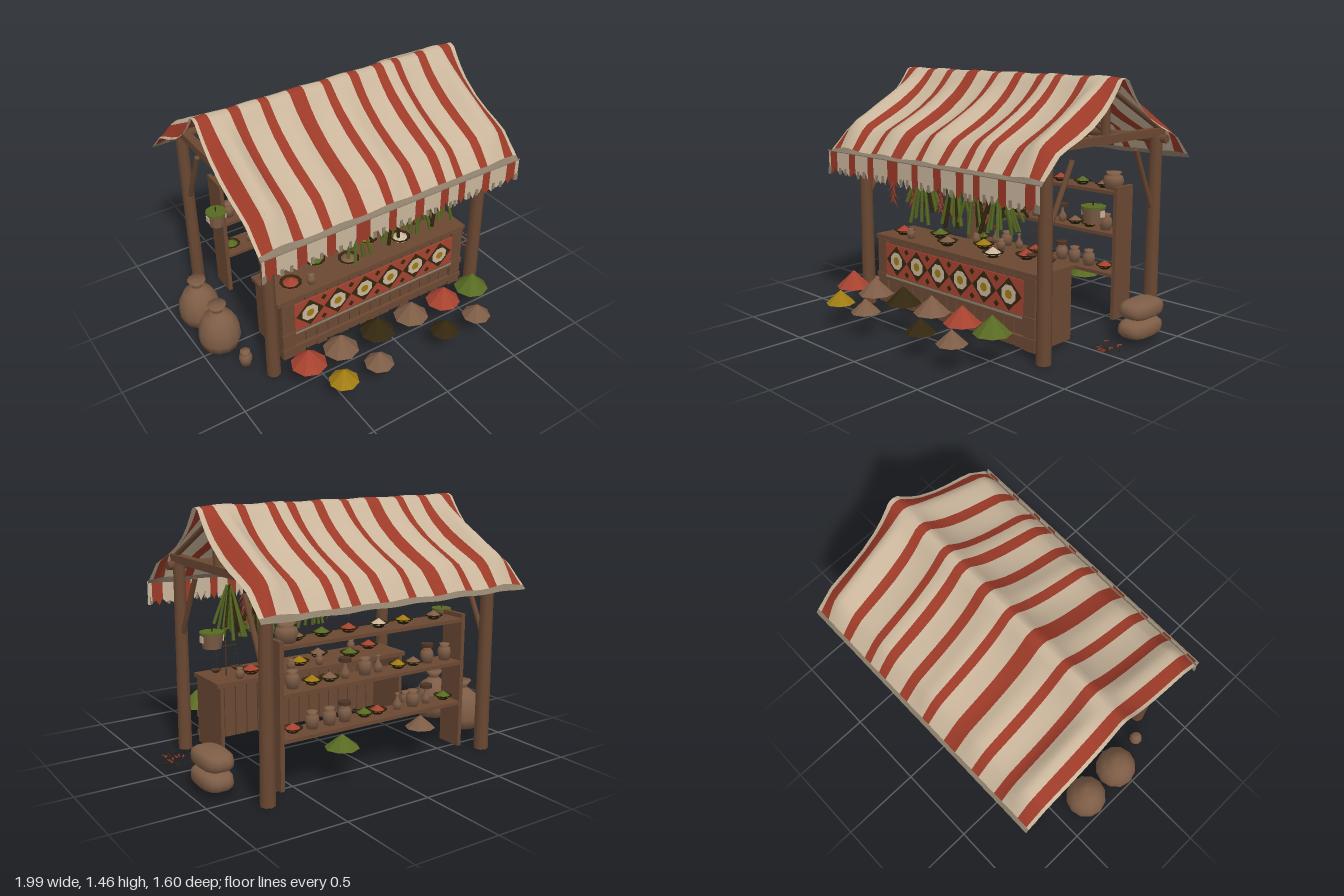
import * as THREE from 'three';

const mat = (name, color) => Object.assign(new THREE.MeshStandardMaterial({ color, side: THREE.DoubleSide }), { name });

export function createModel() {
  const root = new THREE.Group();
  root.name = 'marketStall';
  const cream = mat('canvasCream', 0xc9b59b), red = mat('canvasRed', 0x9c3a28), hem = mat('frayedHem', 0x8d7f6b);
  const wood = mat('wood', 0x6a4832), darkWood = mat('darkWood', 0x4c3324), burlap = mat('burlapAndClay', 0x7e5d46);
  const green = mat('herbGreen', 0x586a22), yellow = mat('spiceYellow', 0xa07b12), dark = mat('spiceDark', 0x33270f);
  const coral = mat('clothAndSpiceRed', 0xa6422f);

  let seed = 7;
  const rnd = (a = 0, b = 1) => { seed = (seed * 16807) % 2147483647; return a + (b - a) * seed / 2147483647; };
  const add = (name, geo, m, x = 0, y = 0, z = 0) => {
    const mesh = new THREE.Mesh(geo, m);
    mesh.name = name;
    mesh.position.set(x, y, z);
    root.add(mesh);
    return mesh;
  };
  const box = (name, m, w, h, d, x, y, z) => add(name, new THREE.BoxGeometry(w, h, d), m, x, y, z);
  const rod = (name, m, a, b, r0, r1 = r0, sides = 8) => {
    const A = new THREE.Vector3(...a), B = new THREE.Vector3(...b), dir = B.clone().sub(A);
    const mesh = add(name, new THREE.CylinderGeometry(r1, r0, dir.length(), sides), m);
    mesh.position.copy(A).add(B).multiplyScalar(0.5);
    mesh.quaternion.setFromUnitVectors(new THREE.Vector3(0, 1, 0), dir.normalize());
    return mesh;
  };
  const lathe = (pts, n = 10) => new THREE.LatheGeometry(pts.map(p => new THREE.Vector2(...p)), n);
  // Flat-shaded low-poly heap standing on y
  const heap = (m, x, y, z, r, h, name = 'spicePile') => {
    const g = new THREE.ConeGeometry(r, h, 8).toNonIndexed();
    g.computeVertexNormals();
    return add(name, g, m, x, y + h / 2, z);
  };

  // Timber frame
  const ridgeZ = -0.145;
  for (const s of [-1, 1]) {
    const x = 0.725 * s;
    rod('frontPost', wood, [x, 0, 0.335], [x, 1.1, 0.335], 0.042, 0.036);
    rod('backPost', wood, [x, 0, -0.63], [x, 1.1, -0.63], 0.042, 0.036);
    box('tieBeam', wood, 0.05, 0.045, 1.08, x, 1.123, ridgeZ);
    rod('kingPost', wood, [x, 1.12, ridgeZ], [x, 1.43, ridgeZ], 0.025);
    rod('frontBrace', wood, [x, 0.70, 0.31], [x, 1.04, 0.13], 0.015);
    rod('backBrace', wood, [x, 0.69, -0.6], [x, 1.04, -0.43], 0.015);
    for (const d of [-1, 1]) {
      rod('endRafter', wood, [x, 1.405, ridgeZ], [x, 1.135, ridgeZ + d * 0.52], 0.016);
    }
  }
  for (const x of [-0.36, 0, 0.36]) for (const d of [-1, 1])
    rod('rafter', wood, [x, 1.365, ridgeZ], [x, 1.075, ridgeZ + d * 0.52], 0.015);
  rod('ridgePole', wood, [-0.8, 1.405, ridgeZ], [0.8, 1.405, ridgeZ], 0.025);
  for (const z of [0.35, -0.64]) rod('eavePole', wood, [-0.79, 1.085, z], [0.79, 1.085, z], 0.025);

  // Canopy: sagging cloth lifted over the rafters and drooping at both open ends
  const dist = [0, 0.03, 0.06, 0.1, 0.16, 0.26, 0.36, 0.45, 0.52, 0.56, 0.6, 0.635, 0.655];
  const sag = [1.454, 1.443, 1.406, 1.36, 1.304, 1.235, 1.184, 1.145, 1.112, 1.075, 1.03, 0.99, 0.965];
  const taut = [1.457, 1.448, 1.43, 1.405, 1.372, 1.315, 1.26, 1.207, 1.17, 1.14, 1.07, 1.0, 0.965];
  const lifts = [[-0.72, 1], [-0.36, 0.4], [0, 0.4], [0.36, 0.4], [0.72, 1]];
  const stripes = [[-0.83, -0.765], [-0.647, -0.588], [-0.47, -0.417], [-0.29, -0.2], [-0.08, -0.03],
    [0.096, 0.155], [0.27, 0.326], [0.396, 0.444], [0.572, 0.626], [0.752, 0.818]];
  const isRed = x => stripes.some(([a, b]) => x > a && x < b);
  const edges = [-0.848, ...stripes.flat(), 0.845], cols = [];
  edges.forEach((e, i) => {
    if (!i) return cols.push(e);
    const p = edges[i - 1], n = Math.ceil((e - p) / 0.025);
    for (let k = 1; k <= n; k++) cols.push(p + (e - p) * k / n);
  });
  const rows = [...dist.slice(1).map((d, i) => [-d, i + 1]).reverse(), ...dist.map((d, i) => [d, i])];
  const pos = [], idx = [], canopyGeo = new THREE.BufferGeometry();
  for (const x of cols) {
    const w = Math.max(...lifts.map(([r, k]) => k * Math.exp(-(((x - r) / 0.075) ** 2))))
      - 0.35 * Math.exp(-(((Math.abs(x) - 0.85) / 0.05) ** 2));
    for (const [d, i] of rows)
      pos.push(x, sag[i] + (taut[i] - sag[i]) * w + 0.003 * Math.sin(x * 21 + d * 5), ridgeZ + d);
  }
  const R = rows.length;
  for (let c = 0; c < cols.length - 1; c++) {
    const main = isRed((cols[c] + cols[c + 1]) / 2) ? 1 : 0;
    for (let j = 0; j < R - 1; j++) {
      const a = c * R + j, b = a + R;
      canopyGeo.addGroup(idx.length, 6, j === 0 || j === R - 2 ? 2 : main);
      idx.push(a, a + 1, b, b, a + 1, b + 1);
    }
  }
  canopyGeo.setAttribute('position', new THREE.Float32BufferAttribute(pos, 3));
  canopyGeo.setIndex(idx);
  canopyGeo.computeVertexNormals();
  add('stripedCanopy', canopyGeo, [cream, red, hem]);

  // Ragged valance along the front edge, with frayed tips on the pale panels
  const ragged = (x0, x1, m) => {
    const shape = new THREE.Shape();
    shape.moveTo(x0, 0.978);
    shape.lineTo(x0, rnd(0.845, 0.875));
    const n = Math.max(2, Math.round((x1 - x0) / 0.022));
    for (let k = 1; k <= n; k++) shape.lineTo(x0 + (x1 - x0) * k / n, k % 2 ? rnd(0.825, 0.85) : rnd(0.845, 0.885));
    shape.lineTo(x1, 0.978);
    add('valance', new THREE.ShapeGeometry(shape), m, 0, 0, 0.518);
  };
  for (let i = 0; i < edges.length - 1; i++) {
    ragged(edges[i], edges[i + 1], i % 2 ? red : cream);
    if (i % 2 === 0) for (const t of [0.25, 0.7])
      box('frayedTip', hem, 0.018, 0.04, 0.004, edges[i] + (edges[i + 1] - edges[i]) * t, rnd(0.85, 0.865), 0.52);
  }
  rod('valanceCord', hem, [-0.85, 0.977, 0.52], [0.845, 0.977, 0.52], 0.004);

  // Counter, open towards the back
  box('counterTop', wood, 1.33, 0.025, 0.30, 0, 0.442, 0.163);
  for (const s of [-1, 1]) {
    box('counterEnd', wood, 0.022, 0.4, 0.28, 0.635 * s, 0.23, 0.16);
    box('counterCorner', wood, 0.08, 0.4, 0.03, 0.605 * s, 0.23, 0.302);
  }
  const planks = 17;
  for (let i = 0; i < planks; i++) {
    const x = -0.6 + 1.2 * i / (planks - 1), low = rnd(0.02, 0.035);
    box('counterPlank', wood, 0.068, 0.425 - low, 0.018, x, (0.425 + low) / 2, 0.295);
  }
  for (const y of [0.085, 0.2]) box('counterRail', wood, 1.3, 0.035, 0.02, 0, y, 0.314);

  // Patterned cloth on the counter front
  box('patternCloth', coral, 1.13, 0.2, 0.008, 0, 0.31, 0.316);
  box('clothHem', hem, 1.13, 0.012, 0.008, 0, 0.207, 0.324);
  for (let i = 0; i < 6; i++) {
    const x = -0.465 + 0.186 * i;
    add('clothDiamond', new THREE.CircleGeometry(0.092, 4), dark, x, 0.315, 0.3215);
    const flower = add('clothFlower', new THREE.CircleGeometry(0.056, 8), cream, x, 0.315, 0.323);
    flower.rotation.z = Math.PI / 8;
    add('flowerCentre', new THREE.CircleGeometry(0.026, 8), yellow, x, 0.315, 0.3245);
    if (i < 5) for (const y of [0.245, 0.385])
      add('clothBud', new THREE.CircleGeometry(0.02, 4), dark, x + 0.093, y, 0.3215);
  }

  // Back shelves
  for (const s of [-1, 1]) box('shelfSide', wood, 0.025, 0.79, 0.155, 0.603 * s, 0.415, -0.497);
  for (const y of [0.285, 0.525, 0.775]) box('shelfBoard', wood, 1.19, 0.02, 0.16, 0, y, -0.497);

  // Crockery
  const jarGeo = lathe([[0, 0], [0.03, 0], [0.04, 0.045], [0.034, 0.07], [0.022, 0.08], [0.03, 0.095], [0, 0.1]]);
  const bottleGeo = lathe([[0, 0], [0.02, 0], [0.026, 0.035], [0.01, 0.06], [0.009, 0.085], [0.015, 0.095], [0, 0.095]]);
  const bowlGeo = lathe([[0, 0], [0.024, 0], [0.056, 0.027], [0.05, 0.027], [0, 0.012]]);
  const bowl = (x, y, z, m, s = 1) => {
    add('bowl', bowlGeo, dark, x, y, z).scale.setScalar(s);
    heap(m, x, y + 0.018 * s, z, 0.049 * s, 0.033 * s, 'bowlContents');
  };
  const fills = [coral, green, burlap, yellow, cream];
  [-0.52, -0.3, -0.13, 0.07, 0.24, 0.4].forEach((x, i) => {
    bowl(x, 0.455, i % 2 ? 0.11 : 0.21, fills[i % 5], 1.15);
    bowl(x + 0.07, 0.785, -0.49, fills[(i + 2) % 5]);
  });
  [[-0.41, 0.25], [-0.04, 0.06], [0.16, 0.06], [0.5, 0.06]].forEach(([x, z]) =>
    add('counterJar', jarGeo, burlap, x, 0.455, z).scale.setScalar(0.65));
  for (const [row, y] of [0.535, 0.295].entries())
    [-0.54, -0.41, -0.31, -0.2, -0.06, 0.03, 0.16, 0.26, 0.37, 0.49].forEach((x, i) => {
      const kind = 'jjbbtjtbbj'[(i + row * 3) % 10];
      if (kind === 'b') return bowl(x, y, -0.49, fills[(i + row) % 5]);
      add(kind === 'j' ? 'shelfJar' : 'shelfBottle', kind === 'j' ? jarGeo : bottleGeo, burlap, x, y, -0.49);
      if (i % 5 === 1) add('jarLid', new THREE.CylinderGeometry(0.036, 0.036, 0.02, 10), darkWood, x, y + 0.102, -0.49);
    });
  add('shelfPot', jarGeo, burlap, 0.53, 0.785, -0.5).scale.set(1.6, 1.05, 1.6);

  // Balance scale
  rod('scalePost', darkWood, [0.54, 0.455, 0.15], [0.54, 0.66, 0.15], 0.004);
  rod('scaleArm', darkWood, [0.47, 0.63, 0.15], [0.61, 0.63, 0.15], 0.003);
  for (const x of [0.475, 0.605]) {
    for (const s of [-1, 1]) rod('scaleString', darkWood, [x, 0.63, 0.15], [x, 0.5, 0.15 + s * 0.03], 0.001, 0.001, 4);
    add('scalePan', bowlGeo, darkWood, x, 0.485, 0.15).scale.setScalar(0.6);
  }

  // Hanging baskets, one on each side
  for (const [x, z, r] of [[0.725, -0.055, 0.065], [-0.725, -0.25, 0.056]]) {
    add('hangingBasket', new THREE.CylinderGeometry(r, r * 0.78, 0.085, 10), burlap, x, 0.73, z);
    add('basketRim', new THREE.CylinderGeometry(r + 0.004, r + 0.004, 0.01, 10), green, x, 0.773, z);
    for (const s of [-1, 1]) box('basketPatch', cream, 0.006, 0.035, 0.035, x + s * r * 0.94, 0.74, z);
    rod('basketHook', dark, [x, 0.775, z], [x, 0.805, z], 0.004);
  }

  // Herb bundles and chilli strings under the front eave
  for (const x of [-0.18, 0.09, 0.24, 0.41]) for (let k = 0; k < 16; k++) {
    const a = rnd(-1, 1), b = rnd(-1, 1), len = rnd(0.2, 0.33);
    rod('herbLeaf', k % 4 === 3 ? dark : green, [x + a * 0.012, 0.94, 0.34 + b * 0.02],
      [x + a * 0.11, 0.94 - len, 0.315 + b * 0.1], 0.007, 0.011, 4);
  }
  for (const x of [-0.47, -0.3, -0.05, 0.02, 0.32]) {
    rod('chilliString', darkWood, [x, 1.07, 0.33], [x, 0.7, 0.33], 0.002, 0.002, 4);
    for (let k = 0; k < 14; k++) {
      const y = 0.88 - k * 0.014, a = k * 2.4;
      rod('chilli', red, [x, y, 0.33], [x + Math.cos(a) * 0.033, y - 0.045, 0.33 + Math.sin(a) * 0.033], 0.007, 0.001, 5);
    }
  }

  // Spice piles in front and behind
  [[-0.61, coral], [-0.4, burlap], [-0.15, dark], [0.09, burlap], [0.33, coral], [0.55, green]]
    .forEach(([x, m]) => heap(m, x, 0.175, 0.535, 0.103, 0.1));
  [[-0.5, yellow], [-0.265, burlap], [0.2, dark], [0.44, burlap]]
    .forEach(([x, m]) => heap(m, x, 0.138, 0.715, 0.085, 0.078));
  heap(green, 0.25, 0.195, -0.595, 0.095, 0.075);
  heap(burlap, -0.3, 0.195, -0.575, 0.085, 0.07);

  // Tied sacks, lying sacks and a small jug
  const sackGeo = lathe([[0, 0.02], [0.105, 0.02], [0.125, 0.08], [0.118, 0.16], [0.085, 0.225], [0.035, 0.262],
    [0.028, 0.272], [0.055, 0.312], [0, 0.3]], 12);
  for (const z of [-0.035, -0.3]) add('tiedSack', sackGeo, burlap, -0.872, 0, z);
  for (const [y, z] of [[0.075, -0.313], [0.183, -0.32]]) {
    const g = new THREE.SphereGeometry(1, 14, 10), p = g.attributes.position;
    for (let i = 0; i < p.count; i++)
      p.setXYZ(i, ...[p.getX(i), p.getY(i), p.getZ(i)].map(v => Math.sign(v) * Math.abs(v) ** 0.7));
    g.scale(0.088, 0.054, 0.145);
    g.computeVertexNormals();
    add('lyingSack', g, burlap, 0.873, y, z);
  }
  add('jug', jarGeo, burlap, -0.83, 0.02, 0.2);

  // Scattered dried pods beside the stall
  for (let k = 0; k < 18; k++) {
    const x = rnd(0.87, 0.975), z = rnd(-0.02, 0.15), y = rnd(0.05, 0.085), a = rnd(0, 6.28);
    rod('driedPod', k % 2 ? dark : red, [x, y, z], [x + Math.cos(a) * 0.02, y, z + Math.sin(a) * 0.03], 0.006, 0.002, 5);
  }
  return root;
}
